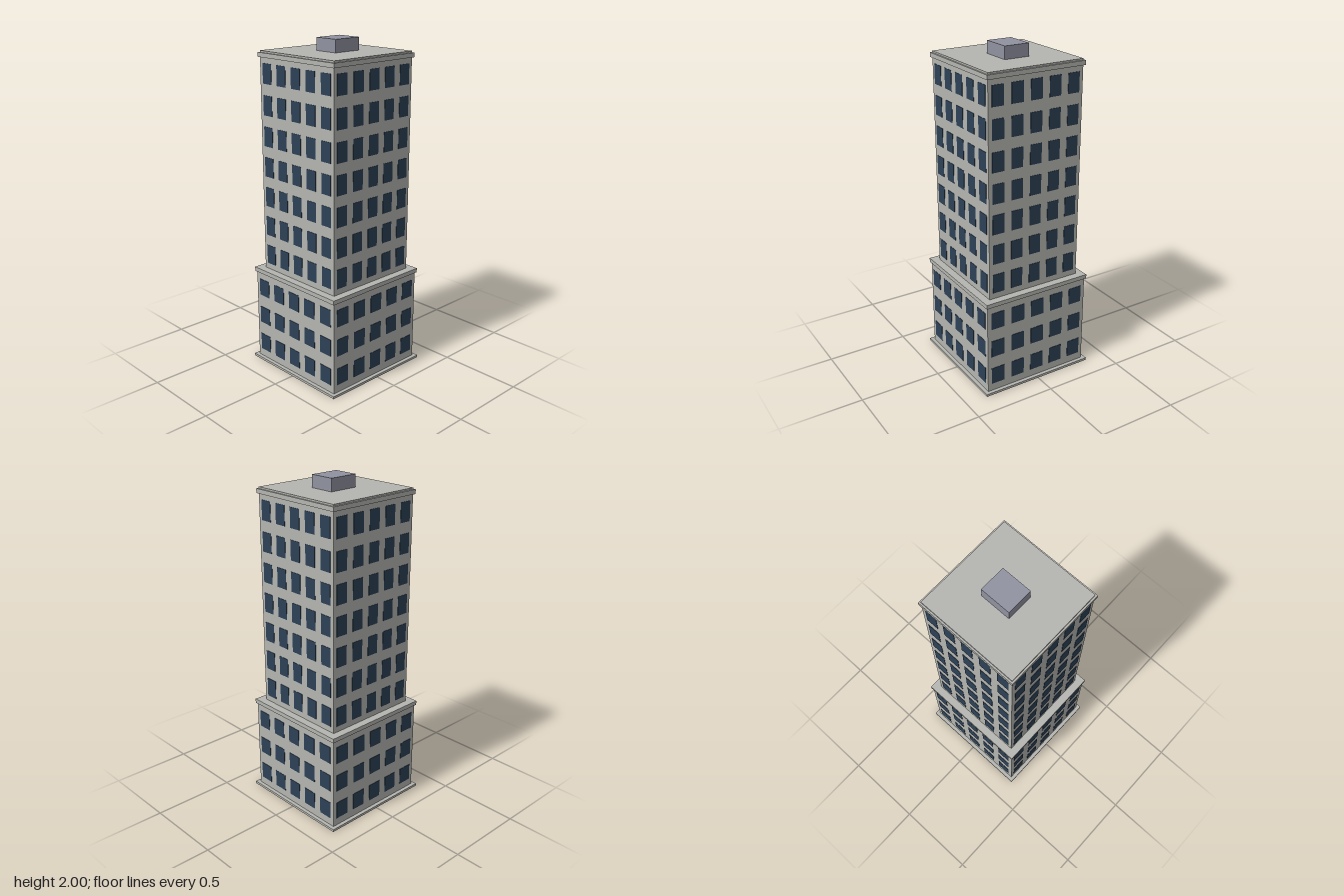
import * as THREE from 'three';

export function createModel() {
  const model = new THREE.Group();
  const stone = new THREE.MeshStandardMaterial({ color: 0xb5b5b1 });
  stone.name = 'stone';
  const glass = new THREE.MeshStandardMaterial({ color: 0x2c4156 });
  glass.name = 'glass';
  const metal = new THREE.MeshStandardMaterial({ color: 0x9092a0 });
  metal.name = 'metal';

  // Square block between two heights
  function block(name, half, bottom, top) {
    const mesh = new THREE.Mesh(new THREE.BoxGeometry(half * 2, top - bottom, half * 2), stone);
    mesh.name = name;
    mesh.position.y = (bottom + top) / 2;
    model.add(mesh);
  }

  block('plinth', 0.365, 0, 0.015);
  block('podium', 0.342, 0.015, 0.582);
  block('podiumCornice', 0.351, 0.582, 0.608);
  block('tower', 0.304, 0.608, 1.89);
  block('towerCornice', 0.314, 1.89, 1.916);
  block('roofSlab', 0.304, 1.916, 1.926);

  // Window grid repeated on all four sides, as thin plates
  function windows(name, { half, columns, rows, stepX, stepY, firstY, width, height }) {
    const group = new THREE.Group();
    group.name = name;
    const pane = new THREE.BoxGeometry(width, height, 0.004);
    for (let side = 0; side < 4; side++) {
      const wall = new THREE.Group();
      wall.name = 'windowWall';
      wall.rotation.y = side * Math.PI / 2;
      for (let row = 0; row < rows; row++) {
        for (let col = 0; col < columns; col++) {
          const mesh = new THREE.Mesh(pane, glass);
          mesh.name = 'window';
          mesh.position.set((col - (columns - 1) / 2) * stepX, firstY + row * stepY, half);
          wall.add(mesh);
        }
      }
      group.add(wall);
    }
    model.add(group);
  }

  windows('podiumWindows', {
    half: 0.342, columns: 5, rows: 3, stepX: 0.1365, stepY: 0.185,
    firstY: 0.115, width: 0.088, height: 0.106,
  });
  windows('towerWindows', {
    half: 0.304, columns: 5, rows: 7, stepX: 0.1217, stepY: 0.1828,
    firstY: 0.702, width: 0.075, height: 0.117,
  });

  // Rooftop plant room, set slightly toward the back
  const plant = new THREE.Mesh(new THREE.BoxGeometry(0.156, 0.074, 0.183), metal);
  plant.name = 'rooftopPlantRoom';
  plant.position.set(0, 1.963, -0.015);
  model.add(plant);

  return model;
}
